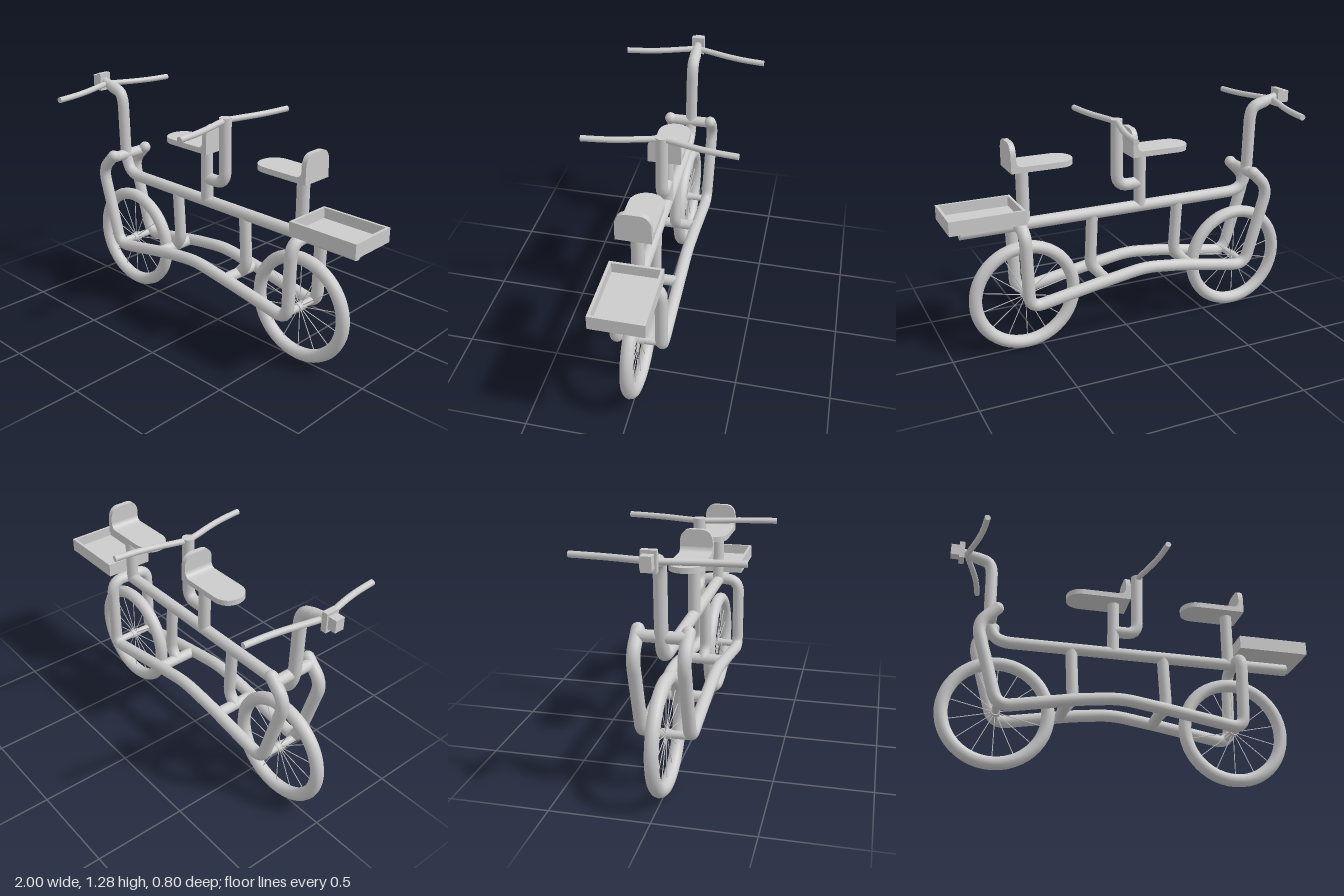
import * as THREE from 'three';
import { mergeGeometries } from 'three/addons/utils/BufferGeometryUtils.js';

const V = (x, y, z) => new THREE.Vector3(x, y, z);
const WHEEL_Y = 0.308, FRONT_X = -0.693, REAR_X = 0.588, SIDE_Z = 0.12, R = 0.033;

export function createModel() {
  const root = new THREE.Group();
  const material = new THREE.MeshStandardMaterial({ color: 0xcccccc });

  function add(name, geometry, x = 0, y = 0, z = 0, parent = root) {
    const mesh = new THREE.Mesh(geometry, material);
    mesh.name = name;
    mesh.position.set(x, y, z);
    parent.add(mesh);
    return mesh;
  }

  // Straight runs joined by rounded bends, closed by a disc at each end
  function pipe(name, points, radius, bend = 0.06, parent = root) {
    const pts = points.map(p => V(...p));
    const path = new THREE.CurvePath();
    let from = pts[0];
    for (let i = 1; i < pts.length - 1; i++) {
      const p = pts[i];
      const cut = q => p.clone().add(q.clone().sub(p).setLength(Math.min(bend, p.distanceTo(q) * 0.45)));
      const a = cut(pts[i - 1]), b = cut(pts[i + 1]);
      path.add(new THREE.LineCurve3(from, a));
      path.add(new THREE.QuadraticBezierCurve3(a, p, b));
      from = b;
    }
    path.add(new THREE.LineCurve3(from, pts[pts.length - 1]));
    const segments = pts.length > 2 ? Math.max(24, Math.ceil(path.getLength() * 55)) : 1;
    const parts = [new THREE.TubeGeometry(path, segments, radius, 14)];
    for (const t of [0, 1]) {
      const out = path.getTangentAt(t).multiplyScalar(t ? 1 : -1);
      const cap = new THREE.CircleGeometry(radius, 14);
      cap.applyQuaternion(new THREE.Quaternion().setFromUnitVectors(V(0, 0, 1), out));
      const at = path.getPointAt(t);
      parts.push(cap.translate(at.x, at.y, at.z));
    }
    return add(name, mergeGeometries(parts), 0, 0, 0, parent);
  }

  // Wheels: tyre, hub, axle and fine spokes
  function wheel(name, x) {
    const group = new THREE.Group();
    group.name = name;
    group.position.set(x, WHEEL_Y, 0);
    root.add(group);
    add('tyre', new THREE.TorusGeometry(0.272, 0.035, 12, 48), 0, 0, 0, group);
    add('hub', new THREE.CylinderGeometry(0.025, 0.025, 0.05, 14), 0, 0, 0, group).rotation.x = Math.PI / 2;
    pipe('axle', [[0, 0, -SIDE_Z], [0, 0, SIDE_Z]], 0.02, 0, group);
    for (let i = 0; i < 14; i++) {
      const spoke = new THREE.CylinderGeometry(0.0025, 0.0025, 0.25, 5).translate(0, 0.125, 0);
      add('spoke', spoke, 0, 0, 0, group).rotation.z = (i / 14) * Math.PI * 2;
    }
  }
  wheel('frontWheel', FRONT_X);
  wheel('rearWheel', REAR_X);

  // Main beam rising into the steering stem
  pipe('mainBeam', [[0.92, 0.71, 0], [-0.71, 0.71, 0], [-0.757, 0.80, 0], [-0.765, 1.185, 0], [-0.85, 1.21, 0]], R, 0.08);
  const neck = new THREE.CylinderGeometry(0.02, R, 0.1, 14).translate(0, 0.05, 0);
  add('stemNeck', neck, -0.845, 1.208, 0).rotation.z = 1.25;

  // Paired lower rails, running up at the rear and joined by an arch
  const rail = [
    [-0.725, 0.845], [-0.825, 0.745], [-0.695, 0.295], [-0.28, 0.37],
    [-0.06, 0.395], [0.2, 0.355], [0.605, 0.285], [0.615, 0.71],
  ];
  const left = rail.map(([x, y]) => [x, y, SIDE_Z]);
  const right = rail.map(([x, y]) => [x, y, -SIDE_Z]).reverse();
  pipe('lowerFrame', [...left, ...right], R, 0.075);
  for (const s of [-1, 1]) add('railEnd', new THREE.SphereGeometry(R, 14, 10), -0.725, 0.845, s * SIDE_Z);
  pipe('headCrossbar', [[-0.75, 0.825, -SIDE_Z], [-0.75, 0.825, SIDE_Z]], 0.03);

  // Struts from the beam down to crossbars between the rails
  for (const [x, y] of [[-0.31, 0.357], [0.2, 0.36]]) {
    pipe('strut', [[x, 0.70, 0], [x + 0.015, 0.415, 0], [x - 0.035, y, 0]], 0.032, 0.04);
    pipe('strutCrossbar', [[x - 0.033, y, -SIDE_Z], [x - 0.033, y, SIDE_Z]], 0.03);
  }

  // Seats: rounded nose, coved corner and arched backrest
  function seat(name, x) {
    const group = new THREE.Group();
    group.name = name;
    group.position.x = x;
    root.add(group);
    const base = new THREE.Shape();
    base.moveTo(0.06, -0.088);
    base.lineTo(0.06, 0.088);
    base.lineTo(-0.2, 0.088);
    base.bezierCurveTo(-0.318, 0.088, -0.318, -0.088, -0.2, -0.088);
    const pan = new THREE.ExtrudeGeometry(base, { depth: 0.03, bevelEnabled: false, curveSegments: 20 });
    add('seatPan', pan.rotateX(-Math.PI / 2), 0, 1.01, 0, group);

    const back = new THREE.Shape();
    back.moveTo(-0.088, 0);
    back.lineTo(0.088, 0);
    back.lineTo(0.088, 0.08);
    back.bezierCurveTo(0.088, 0.125, 0.065, 0.15, 0.03, 0.15);
    back.lineTo(-0.03, 0.15);
    back.bezierCurveTo(-0.065, 0.15, -0.088, 0.125, -0.088, 0.08);
    const rest = new THREE.ExtrudeGeometry(back, { depth: 0.028, bevelEnabled: false, curveSegments: 12 });
    add('backrest', rest.rotateY(Math.PI / 2), 0.032, 1.01, 0, group);

    const cove = new THREE.Shape();
    cove.moveTo(0.033, 0);
    cove.lineTo(0.033, 0.04);
    cove.quadraticCurveTo(0.033, 0, -0.005, 0);
    add('seatCove', new THREE.ExtrudeGeometry(cove, { depth: 0.174, bevelEnabled: false }), 0, 1.04, -0.087, group);
    add('seatPost', new THREE.CylinderGeometry(R, R, 0.31, 16), -0.02, 0.86, 0, group);
  }
  seat('frontSeat', -0.08 + 0.02);
  seat('rearSeat', 0.58 + 0.02);

  // Second stem branching off the front seat post
  pipe('rearStem', [[-0.08, 0.842, 0], [0.055, 0.842, 0], [0.055, 1.205, 0]], R, 0.07);

  // Handlebars swept backward at the grips
  function handlebar(name, x, y, drop) {
    const half = [[0, 0], [0.012, 0.06], [0.045, 0.18], [0.065, 0.28], [0.078, 0.4]];
    const pts = half.map(([dx, z]) => V(x + dx, y - drop * dx, z));
    const mirrored = pts.slice(1).map(p => V(p.x, p.y, -p.z)).reverse();
    const curve = new THREE.CatmullRomCurve3([...mirrored, ...pts]);
    const points = curve.getPoints(24).map(p => p.toArray());
    pipe(name, points, 0.016, 0.015);
  }
  handlebar('frontHandlebar', -0.902, 1.222, 0.15);
  handlebar('rearHandlebar', 0.055, 1.19, 0);

  // Headlamp
  add('lampPlate', new THREE.BoxGeometry(0.03, 0.1, 0.072), -0.935, 1.232, 0);
  add('lampBody', new THREE.BoxGeometry(0.045, 0.064, 0.052), -0.968 + 0.01, 1.234, 0);
  add('lampFace', new THREE.BoxGeometry(0.02, 0.064, 0.052), -0.985, 1.234, 0);

  // Open luggage tray
  const tray = new THREE.Group();
  tray.name = 'luggageTray';
  tray.position.set(0.804, 0.755, 0);
  root.add(tray);
  add('trayFloor', new THREE.BoxGeometry(0.39, 0.02, 0.272), 0, 0.01, 0, tray);
  for (const s of [-1, 1]) {
    add('traySide', new THREE.BoxGeometry(0.39, 0.075, 0.015), 0, 0.0375, s * 0.1285, tray);
    add('trayEnd', new THREE.BoxGeometry(0.015, 0.075, 0.272), s * 0.1875, 0.0375, 0, tray);
  }
  return root;
}
